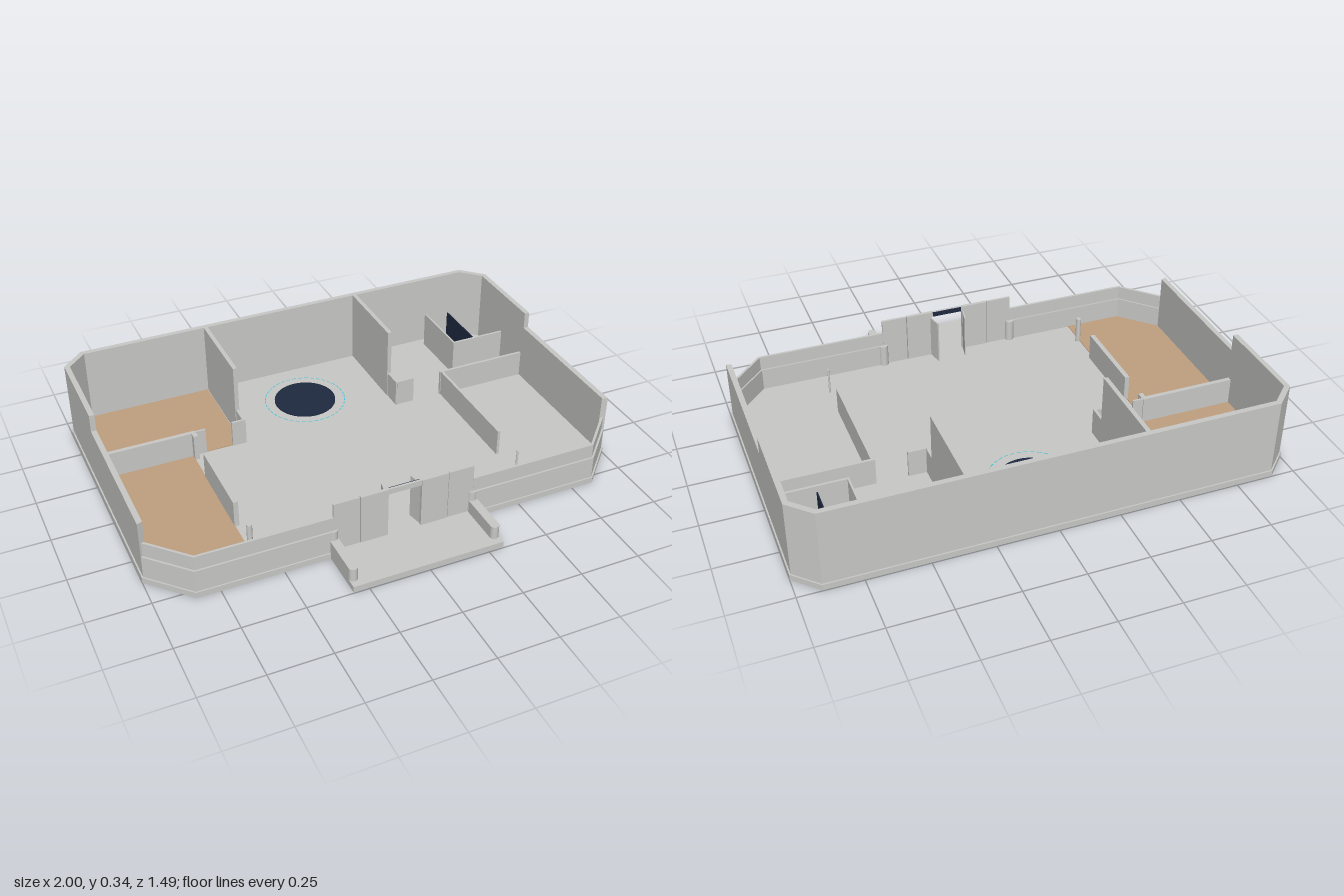
import * as THREE from 'three';

const mat = (name, color) => Object.assign(new THREE.MeshStandardMaterial({ color }), { name });

export function createModel() {
  const model = new THREE.Group();
  model.name = 'floorPlanBuilding';
  const plaster = mat('plasterGrey', 0xc9c9c7);
  const wood = mat('woodTan', 0xc0a080);
  const navy = mat('navy', 0x1f2a40);
  const cyan = mat('cyan', 0x3fc4d8);

  const FLOOR = 0.025, LOW = 0.14;

  const add = (name, geo, material = plaster) => {
    const mesh = new THREE.Mesh(geo, material);
    mesh.name = name;
    model.add(mesh);
    return mesh;
  };
  // Upright prism over a footprint of [x, z] points
  const prism = (name, pts, y0, y1, material) => {
    const shape = new THREE.Shape(pts.map(([x, z]) => new THREE.Vector2(x, -z)));
    const geo = new THREE.ExtrudeGeometry(shape, { depth: y1 - y0, bevelEnabled: false });
    geo.rotateX(-Math.PI / 2).translate(0, y0, 0);
    return add(name, geo, material);
  };
  // Box from its extents
  const box = (name, x0, x1, y0, y1, z0, z1, material) => add(name,
    new THREE.BoxGeometry(x1 - x0, y1 - y0, z1 - z0)
      .translate((x0 + x1) / 2, (y0 + y1) / 2, (z0 + z1) / 2), material);
  const post = (name, x, z, r, y1, material) => add(name,
    new THREE.CylinderGeometry(r, r, y1 - FLOOR, 20).translate(x, (y1 + FLOOR) / 2, z), material);

  // Half of the chamfered outline, moved inwards by d: back centre round to front
  const half = (s, d) => {
    const k = 0.414 * d;
    return {
      back: [0, -0.747 + d],
      backCorner: [s * (0.905 - k), -0.747 + d],
      backSide: [s * (1 - d), -0.655 + k],
      step: [s * (1 - d), -0.255],
      frontSide: [s * (1 - d), 0.38 - k],
      frontCorner: [s * (0.845 - k), 0.54 - d],
      door: [s * 0.295, 0.54 - d],
    };
  };
  const band = (name, s, keys, d0, d1, y0, y1) => {
    const a = half(s, d0), b = half(s, d1);
    prism(name, [...keys.map(k => a[k]), ...keys.map(k => b[k]).reverse()], y0, y1);
  };

  // Foundation slab with the porch projecting at the front
  const R = half(1, 0), L = half(-1, 0);
  prism('foundation', [L.backCorner, R.backCorner, R.backSide, R.frontSide, R.frontCorner,
    [0.313, 0.54], [0.313, 0.745], [-0.313, 0.745], [-0.313, 0.54],
    L.frontCorner, L.frontSide, L.backSide], 0, FLOOR);

  // Outer walls: tall at the back, stepped at the sides, low with a window band in front
  for (const s of [-1, 1]) {
    band('backWall', s, ['back', 'backCorner', 'backSide', 'step'], 0.006, 0.028, FLOOR, 0.345);
    band('sideWall', s, ['step', 'frontSide'], 0.006, 0.028, FLOOR, 0.272);
    band('frontLowWall', s, ['frontSide', 'frontCorner', 'door'], 0.006, 0.03, FLOOR, 0.12);
    band('frontWindowBand', s, ['frontSide', 'frontCorner', 'door'], 0.014, 0.024, 0.12, 0.18);

    // Entrance panels, split in two per side
    const span = (name, a, b, ...rest) => box(name, Math.min(s * a, s * b), Math.max(s * a, s * b), ...rest);
    span('entranceOuterPanel', 0.187, 0.295, FLOOR, 0.24, 0.515, 0.525);
    span('entranceInnerPanel', 0.07, 0.184, FLOOR, 0.24, 0.513, 0.527);
    // Open door leaf
    const leaf = add('doorLeaf', new THREE.BoxGeometry(0.006, 0.19, 0.065).translate(0, 0, -0.0325));
    leaf.position.set(s * 0.075, FLOOR + 0.095, 0.515);
    leaf.rotation.y = s * 0.2;

    // Porch parapet with rounded ends
    span('porchParapet', 0.277, 0.313, FLOOR, 0.08, 0.53, 0.7);
    post('porchParapetEnd', s * 0.295, 0.7, 0.018, 0.08);
    post('entrancePost', s * 0.295, 0.517, 0.02, 0.12);

    // Tall partitions beside the hall, with low returns
    span('hallPartition', 0.346, 0.364, FLOOR, 0.345, -0.722, -0.35);
    span('hallPartitionEnd', 0.349, 0.361, FLOOR, LOW, -0.35, -0.267);
    span('hallReturn', 0.355, s > 0 ? 0.435 : 0.41, FLOOR, LOW, -0.276, -0.266);
  }

  // Door header with a dark inner face
  box('doorHeader', -0.07, 0.07, 0.217, 0.24, 0.515, 0.525);
  box('doorHeaderInnerFace', -0.065, 0.065, 0.219, 0.239, 0.511, 0.515, navy);

  // Wooden floors of the rooms on the -x side
  box('backRoomFloor', -0.972, -0.367, FLOOR, FLOOR + 0.003, -0.655, -0.27, wood);
  prism('backRoomFloorEdge', [[-0.972, -0.655], [-0.893, -0.72], [-0.367, -0.72], [-0.367, -0.655]],
    FLOOR, FLOOR + 0.003, wood);
  prism('frontRoomFloor', [[-0.972, -0.27], [-0.585, -0.27], [-0.585, 0.51], [-0.835, 0.51],
    [-0.972, 0.37]], FLOOR, FLOOR + 0.003, wood);

  // Low room dividers, -x side
  box('crossDivider', -0.975, -0.57, FLOOR, LOW, -0.279, -0.261);
  box('crossDividerReturn', -0.587, -0.567, FLOOR, LOW, -0.262, -0.235);
  box('crossDividerStub', -0.57, -0.525, FLOOR, LOW, -0.275, -0.267);
  box('roomDivider', -0.588, -0.568, FLOOR, LOW, -0.11, 0.24);
  post('roomPost', -0.578, 0.387, 0.011, LOW);

  // Low room dividers, +x side
  box('crossDivider', 0.565, 0.975, FLOOR, LOW, -0.274, -0.262);
  box('roomDivider', 0.568, 0.58, FLOOR, LOW, -0.27, 0.24);
  post('roomPost', 0.575, 0.387, 0.004, LOW);

  // Screened corner with a dark panel
  box('cornerScreenSide', 0.699, 0.707, FLOOR, 0.185, -0.68, -0.397);
  box('cornerScreenFront', 0.699, 0.945, FLOOR, 0.185, -0.405, -0.395);
  box('cornerPanel', 0.822, 0.827, FLOOR, 0.16, -0.69, -0.408, navy);

  // Round inlay with a dashed ring in the hall floor
  add('hallInlay', new THREE.CylinderGeometry(0.134, 0.134, 0.005, 48)
    .translate(0, FLOOR + 0.0025, -0.466), navy);
  const dashes = 40;
  for (let i = 0; i < dashes; i++) {
    const step = 2 * Math.PI / dashes;
    add('inlayRingDash', new THREE.RingGeometry(0.1735, 0.1775, 3, 1, i * step, step * 0.65)
      .rotateX(-Math.PI / 2).translate(0, FLOOR + 0.003, -0.466), cyan);
  }
  return model;
}
